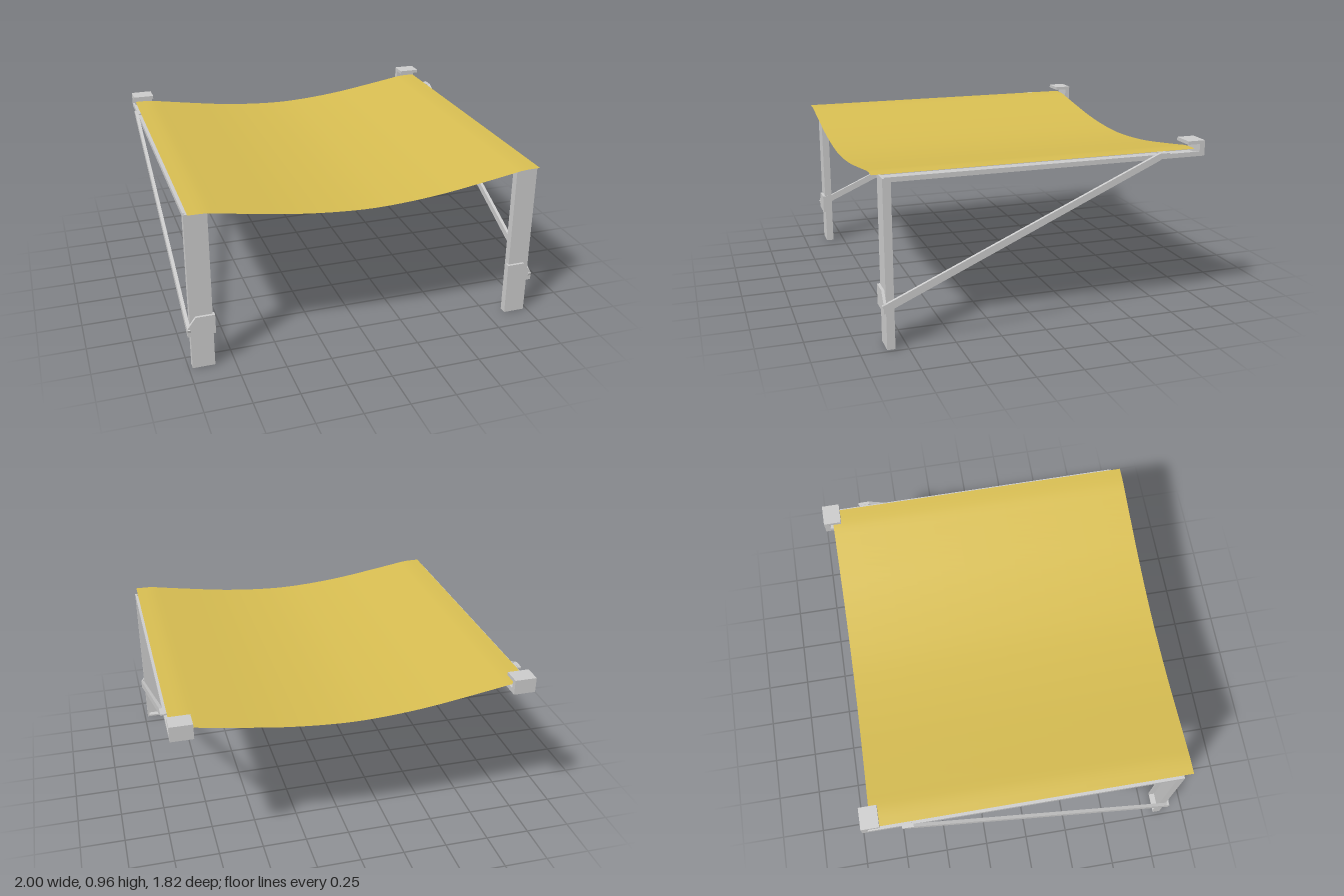
import * as THREE from 'three';

const grey = new THREE.MeshStandardMaterial({ color: 0xcccccc, flatShading: true });
const clothMat = new THREE.MeshStandardMaterial({ color: 0xd8be52, side: THREE.DoubleSide });

const T = 0.01; // sheet metal thickness

// Box given by its lower and upper bounds on the +x side; s mirrors it
function slab(parent, name, s, [x0, x1], [y0, y1], [z0, z1]) {
  const m = new THREE.Mesh(new THREE.BoxGeometry(x1 - x0, y1 - y0, z1 - z0), grey);
  m.position.set(s * (x0 + x1) / 2, (y0 + y1) / 2, (z0 + z1) / 2);
  m.name = name;
  parent.add(m);
}

function extrude(points, depth) {
  const shape = new THREE.Shape(points.map(([a, b]) => new THREE.Vector2(a, b)));
  return new THREE.ExtrudeGeometry(shape, { depth, bevelEnabled: false });
}

// Side profile in (z, y), extruded from x0 to x1
function prism(parent, name, s, points, x0, x1) {
  const g = extrude(points, x1 - x0).rotateY(-Math.PI / 2);
  g.translate(s > 0 ? x1 : -x0, 0, 0);
  const m = new THREE.Mesh(g, grey);
  m.name = name;
  parent.add(m);
}

function buildSide(s) {
  const side = new THREE.Group();
  side.name = s > 0 ? 'leftFrame' : 'rightFrame';
  const a = 0.858, b = 0.98;

  // Front leg: channel open to the back
  const leg = new THREE.Group();
  leg.name = 'leg';
  slab(leg, 'legWeb', s, [a, b], [0, 0.9], [0.86 - T, 0.86]);
  slab(leg, 'legInnerFlange', s, [a, a + T], [0, 0.9], [0.817, 0.86 - T]);
  slab(leg, 'legOuterFlange', s, [b - T, b], [0, 0.9], [0.817, 0.86 - T]);
  slab(leg, 'legFoot', s, [a + T, b - T], [0, T], [0.817, 0.86 - T]);
  side.add(leg);

  // Top rail: channel open upwards
  const rail = new THREE.Group();
  rail.name = 'rail';
  slab(rail, 'railWeb', s, [a, b], [0.88, 0.88 + T], [-0.88, 0.85]);
  slab(rail, 'railInnerFlange', s, [a, a + T], [0.88 + T, 0.905], [-0.88, 0.85]);
  slab(rail, 'railOuterFlange', s, [b - T, b], [0.88 + T, 0.905], [-0.88, 0.85]);
  side.add(rail);

  // Hook at the rear end
  prism(side, 'rearHook', s, [
    [-0.88, 0.88], [-0.91, 0.88], [-0.91, 0.965], [-0.81, 0.965],
    [-0.81, 0.946], [-0.88, 0.946],
  ], a, b);

  // Diagonal brace with its ends cut to the leg and rail
  prism(side, 'brace', s, [
    [0.868, 0.208], [0.88, 0.247], [-0.632, 0.915], [-0.695, 0.915], [-0.63, 0.876],
  ], 0.98, 0.998);

  // Clip over the rail at the upper end of the brace
  const clip = new THREE.Group();
  clip.name = 'railClip';
  slab(clip, 'clipPlate', s, [0.848, 0.998], [0.905, 0.914], [-0.69, -0.64]);
  slab(clip, 'clipLip', s, [0.848, a], [0.885, 0.905], [-0.69, -0.64]);
  side.add(clip);

  // Gusset wrapped round the leg at the lower end of the brace
  const gusset = new THREE.Group();
  gusset.name = 'legGusset';
  const plate = new THREE.Mesh(extrude([
    [0.848, 0.205], [0.998, 0.205], [0.998, 0.25], [0.95, 0.315], [0.848, 0.315],
  ].map(([x, y]) => [s * x, y]), 0.015), grey);
  plate.position.z = 0.86;
  plate.name = 'gussetPlate';
  gusset.add(plate);
  slab(gusset, 'gussetLip', s, [0.848, a], [0.205, 0.315], [0.845, 0.86]);
  side.add(gusset);
  return side;
}

// Sagging cloth
function buildCloth() {
  const half = [[0, 0.818], [0.2, 0.826], [0.4, 0.845], [0.6, 0.874], [0.8, 0.906], [0.87, 0.917], [0.966, 0.919]];
  const pts = [...half.slice(1).reverse().map(([x, y]) => [-x, y]), ...half];
  const curve = new THREE.CatmullRomCurve3(pts.map(([x, y]) => new THREE.Vector3(x, y, 0)), false, 'centripetal');
  const nx = 48, nz = 12;
  const line = curve.getSpacedPoints(nx);
  const g = new THREE.PlaneGeometry(1, 1, nx, nz);
  const p = g.attributes.position;
  for (let i = 0; i < p.count; i++) {
    const c = line[i % (nx + 1)];
    const v = Math.floor(i / (nx + 1)) / nz;
    p.setXYZ(i, c.x, c.y, -0.86 + 1.77 * v);
  }
  g.computeVertexNormals();
  const m = new THREE.Mesh(g, clothMat);
  m.name = 'cloth';
  return m;
}

export function createModel() {
  const model = new THREE.Group();
  model.name = 'canopy';
  model.add(buildSide(1), buildSide(-1), buildCloth());
  return model;
}
